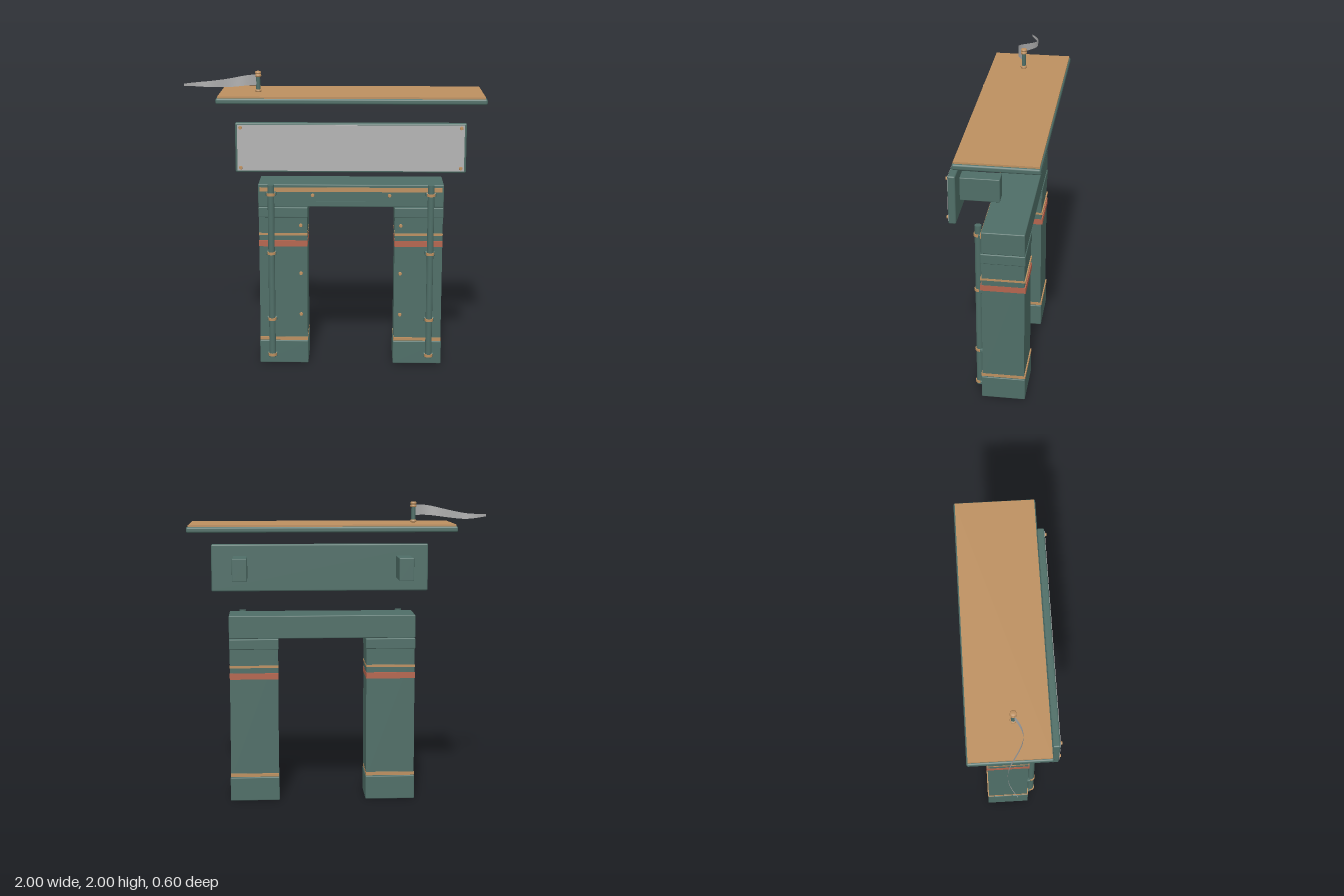
import * as THREE from 'three';
import { RoundedBoxGeometry } from 'three/addons/geometries/RoundedBoxGeometry.js';

const mat = (name, color, side = THREE.FrontSide) => {
  const m = new THREE.MeshStandardMaterial({ color, side });
  m.name = name;
  return m;
};

export function createModel() {
  const root = new THREE.Group();
  root.name = 'explodedGate';
  const teal = mat('teal', 0x4f6e67);
  const brass = mat('brass', 0xbd9060);
  const red = mat('rust red', 0xb5654e);
  const grey = mat('pale grey', 0xb3b3b3);
  const cloth = mat('cloth grey', 0xb0b0b0, THREE.DoubleSide);

  const add = (name, geometry, material, parent = root) => {
    const mesh = new THREE.Mesh(geometry, material);
    mesh.name = name;
    parent.add(mesh);
    return mesh;
  };
  // Box from its extents, with an optional softened edge
  const box = (name, [x0, x1], [y0, y1], [z0, z1], material, bevel = 0, parent = root) => {
    const s = [x1 - x0, y1 - y0, z1 - z0];
    const g = bevel ? new RoundedBoxGeometry(...s, 2, bevel) : new THREE.BoxGeometry(...s);
    add(name, g, material, parent).position.set((x0 + x1) / 2, (y0 + y1) / 2, (z0 + z1) / 2);
  };
  // Round-headed bolt facing the front
  const bolt = (x, y, z, parent) => {
    const m = add('bolt', new THREE.CylinderGeometry(0.01, 0.013, 0.014, 12), brass, parent);
    m.rotation.x = Math.PI / 2;
    m.position.set(x, y, z);
  };

  // Posts with plinth, cap, bands and bolts
  for (const [name, x0, x1, boltX] of [['rightPost', -0.51, -0.178, -0.225], ['leftPost', 0.402, 0.732, 0.447]]) {
    const post = new THREE.Group();
    post.name = name;
    root.add(post);
    const inner = [x0 + 0.004, x1 - 0.004];
    const bandX = [x0 + 0.003, x1 - 0.003];
    box('plinth', [x0, x1], [0, 0.16], [-0.175, 0.114], teal, 0.006, post);
    box('shaft', inner, [0.15, 1.04], [-0.169, 0.107], teal, 0, post);
    box('cap', [x0, x1], [1.03, 1.1], [-0.175, 0.114], teal, 0.006, post);
    box('lowerBand', bandX, [0.165, 0.187], [-0.177, 0.115], brass, 0, post);
    box('redBand', bandX, [0.83, 0.871], [-0.177, 0.115], red, 0, post);
    box('upperBand', bandX, [0.907, 0.922], [-0.177, 0.115], brass, 0, post);
    for (const y of [0.35, 0.64, 0.975]) bolt(boltX, y, 0.112, post);
  }

  // Lintel with its inlay, bolts and thin conduit
  const lintel = new THREE.Group();
  lintel.name = 'lintel';
  root.add(lintel);
  box('beam', [-0.51, 0.732], [1.103, 1.256], [-0.171, 0.107], teal, 0.006, lintel);
  box('inlayStrip', [-0.5, 0.722], [1.207, 1.236], [0.105, 0.113], brass, 0, lintel);
  for (const x of [-0.145, 0.37]) bolt(x, 1.182, 0.112, lintel);
  box('conduit', [-0.25, 0.482], [1.134, 1.14], [0.105, 0.114], teal, 0, lintel);
  box('conduitEnd', [0.476, 0.482], [1.134, 1.158], [0.105, 0.114], teal, 0, lintel);

  // Front pipes and their clamps
  for (const x of [-0.422, 0.645]) {
    const pipe = new THREE.Group();
    pipe.name = 'pipe';
    pipe.position.set(x, 0, 0.138);
    root.add(pipe);
    add('tube', new THREE.CylinderGeometry(0.022, 0.022, 1.21, 16), teal, pipe).position.y = 0.655;
    for (const y of [0.07, 0.325, 0.79, 1.195]) {
      box('clamp', [-0.035, 0.035], [y - 0.013, y + 0.013], [-0.032, -0.006], teal, 0.004, pipe);
      add('clampRing', new THREE.CylinderGeometry(0.028, 0.028, 0.018, 16), brass, pipe).position.y = y;
    }
  }

  // Sign board with face plate, bolts and rear brackets
  const sign = new THREE.Group();
  sign.name = 'signBoard';
  root.add(sign);
  box('backing', [-0.64, 0.86], [1.375, 1.7], [0.237, 0.285], teal, 0.01, sign);
  box('facePlate', [-0.626, 0.846], [1.387, 1.688], [0.28, 0.288], grey, 0, sign);
  for (const x of [-0.605, 0.825]) for (const y of [1.406, 1.67]) bolt(x, y, 0.292, sign);
  for (const x of [-0.516, 0.612]) box('bracket', [x, x + 0.1], [1.465, 1.62], [-0.012, 0.24], teal, 0.005, sign);

  // Roof slab
  box('roofSlab', [-0.77, 0.995], [1.812, 1.85], [-0.296, 0.232], teal, 0.012);
  box('roofTop', [-0.757, 0.982], [1.845, 1.862], [-0.287, 0.224], brass);

  // Flag pole with collars
  const pole = new THREE.Group();
  pole.name = 'flagPole';
  pole.position.x = -0.507;
  root.add(pole);
  add('rod', new THREE.CylinderGeometry(0.014, 0.014, 0.12, 16), teal, pole).position.y = 1.925;
  const knob = [[0, 0], [0.018, 0], [0.021, 0.005], [0.021, 0.012], [0.016, 0.018], [0, 0.018]]
    .map(([r, y]) => new THREE.Vector2(r, y));
  for (const y of [1.862, 1.963, 1.982]) add('collar', new THREE.LatheGeometry(knob, 16), brass, pole).position.y = y;

  // Tapering pennant waving in z
  const top = new THREE.SplineCurve([[0, 1.98], [0.2, 1.974], [0.5, 1.942], [0.72, 1.923], [1, 1.915]].map((p) => new THREE.Vector2(...p)));
  const bottom = new THREE.SplineCurve([[0, 1.91], [0.2, 1.908], [0.5, 1.892], [0.72, 1.886], [1, 1.9]].map((p) => new THREE.Vector2(...p)));
  const flag = new THREE.PlaneGeometry(1, 1, 28, 1);
  const pos = flag.attributes.position;
  for (let i = 0; i < pos.count; i++) {
    const t = 0.5 - pos.getX(i);
    const p = (pos.getY(i) > 0 ? top : bottom).getPoint(t);
    pos.setXYZ(i, -0.51 - 0.49 * p.x, p.y, 0.054 * Math.sin(2 * Math.PI * p.x));
  }
  // Mirrored x reverses the winding, so swap corners back
  const idx = flag.index;
  for (let i = 0; i < idx.count; i += 3) {
    const a = idx.getX(i);
    idx.setX(i, idx.getX(i + 1));
    idx.setX(i + 1, a);
  }
  flag.computeVertexNormals();
  add('pennant', flag, cloth);

  return root;
}
